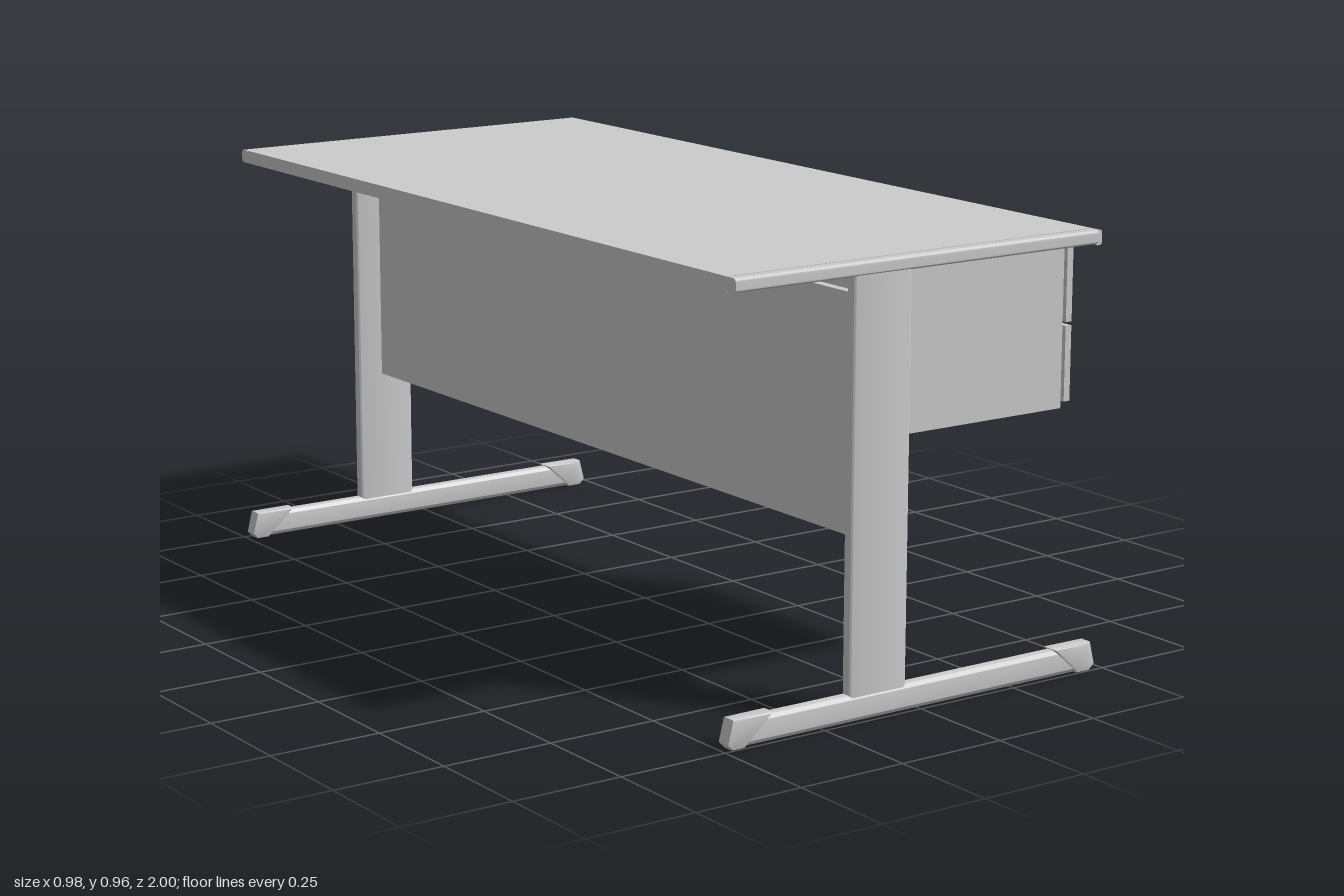
import * as THREE from 'three';
import { toCreasedNormals } from 'three/addons/utils/BufferGeometryUtils.js';

const grey = new THREE.MeshStandardMaterial({ color: 0xcccccc });

function add(parent, name, geometry) {
  const mesh = new THREE.Mesh(geometry, grey);
  mesh.name = name;
  parent.add(mesh);
  return mesh;
}

// Box given by its lower and upper corner
function box(parent, name, [x0, y0, z0], [x1, y1, z1]) {
  const mesh = add(parent, name, new THREE.BoxGeometry(x1 - x0, y1 - y0, z1 - z0));
  mesh.position.set((x0 + x1) / 2, (y0 + y1) / 2, (z0 + z1) / 2);
  return mesh;
}

// Bar along z with a rounded rectangular section, centred on the origin
function roundedBar(w, h, r, length) {
  const a = w / 2, b = h / 2;
  const s = new THREE.Shape();
  s.moveTo(-a + r, -b);
  s.lineTo(a - r, -b);
  s.absarc(a - r, -b + r, r, -Math.PI / 2, 0);
  s.absarc(a - r, b - r, r, 0, Math.PI / 2);
  s.absarc(-a + r, b - r, r, Math.PI / 2, Math.PI);
  s.absarc(-a + r, -b + r, r, Math.PI, Math.PI * 1.5);
  const g = new THREE.ExtrudeGeometry(s, { depth: length, bevelEnabled: false, curveSegments: 6 });
  g.translate(0, 0, -length / 2);
  return g;
}

// Angled end cap of a foot, seen from the side
function footCap(points) {
  const s = new THREE.Shape(points.map(([x, y]) => new THREE.Vector2(x, y)));
  const bevel = 0.005;
  const g = new THREE.ExtrudeGeometry(s, {
    depth: 0.035 - 2 * bevel, bevelThickness: bevel, bevelSize: bevel,
    bevelOffset: -bevel, bevelSegments: 2,
  });
  g.translate(0, 0, -0.0175 + bevel);
  return toCreasedNormals(g, 0.6);
}

export function createModel() {
  const desk = new THREE.Group();
  desk.name = 'desk';

  // Worktop with trim along the front edge
  box(desk, 'worktop', [-0.48, 0.928, -0.968], [0.456, 0.958, 0.968]);
  const trim = add(desk, 'frontTrim', toCreasedNormals(roundedBar(0.016, 0.032, 0.005, 1.99), 0.7));
  trim.position.set(0.459, 0.942, 0);

  // End frames, mirrored front to back
  for (const side of [1, -1]) {
    const frame = new THREE.Group();
    frame.name = side > 0 ? 'frontFrame' : 'backFrame';
    frame.position.z = side * 0.9825;
    desk.add(frame);

    const edge = add(frame, 'worktopEndRail',
      toCreasedNormals(roundedBar(0.034, 0.03, 0.01, 0.936).rotateY(Math.PI / 2), 0.7));
    edge.position.set(-0.012, 0.943, 0);

    const leg = add(frame, 'leg',
      toCreasedNormals(roundedBar(0.152, 0.028, 0.012, 0.874).rotateX(-Math.PI / 2), 0.7));
    leg.position.set(-0.111, 0.493, 0);

    const foot = add(frame, 'foot',
      toCreasedNormals(roundedBar(0.031, 0.06, 0.013, 0.9).rotateY(Math.PI / 2), 0.7));
    foot.position.set(-0.01, 0.033, 0);

    add(frame, 'footCapRight', footCap(
      [[0.43, 0.002], [0.463, 0.002], [0.478, 0.015], [0.465, 0.066], [0.36, 0.066]]));
    add(frame, 'footCapLeft', footCap(
      [[-0.38, 0.066], [-0.48, 0.066], [-0.493, 0.015], [-0.48, 0.002], [-0.45, 0.002]]));
  }

  // Long panel between the legs
  box(desk, 'modestyPanel', [-0.122, 0.37, -0.972], [-0.102, 0.876, 0.972]);

  // Hanging drawer cabinet
  const drawers = new THREE.Group();
  drawers.name = 'drawerUnit';
  desk.add(drawers);
  box(drawers, 'cabinet', [-0.05, 0.572, 0.397], [0.418, 0.93, 0.935]);

  for (const y of [0.585, 0.756]) {
    box(drawers, 'drawerBack', [0.416, y, 0.41], [0.428, y + 0.132, 0.922]);
    box(drawers, 'drawerFront', [0.427, y, 0.397], [0.443, y + 0.163, 0.935]);

    // Bowed handle
    const path = new THREE.CatmullRomCurve3(
      [[0.44, 0.545], [0.458, 0.565], [0.476, 0.61], [0.483, 0.662],
        [0.476, 0.714], [0.458, 0.759], [0.44, 0.779]]
        .map(([x, z]) => new THREE.Vector3(x, 0, z)));
    const handle = add(drawers, 'handle', new THREE.TubeGeometry(path, 32, 0.007, 10));
    handle.position.y = y + 0.102;
  }

  return desk;
}
